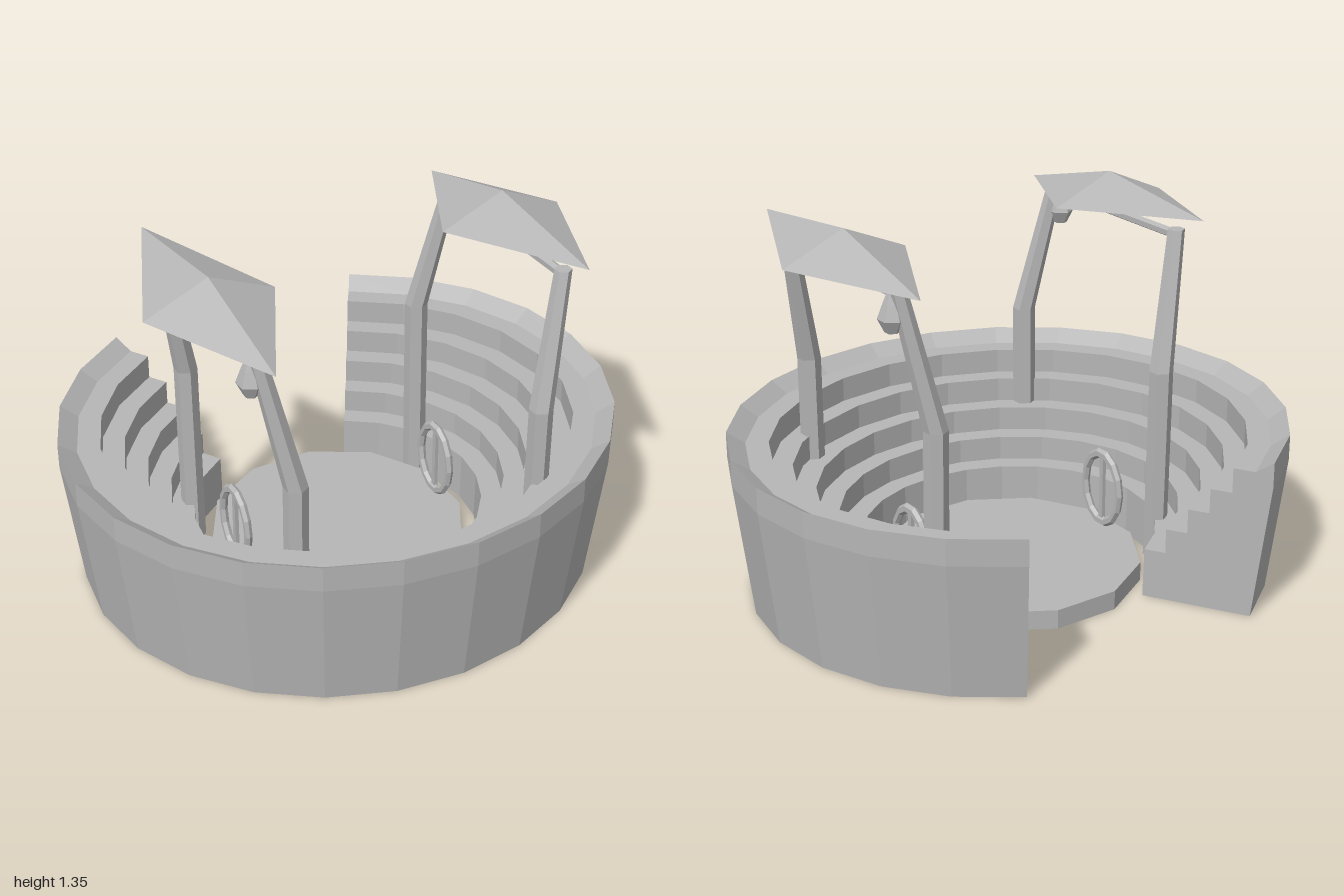
import * as THREE from 'three';

const stone = new THREE.MeshStandardMaterial({ color: 0xb6b6b6, flatShading: true, side: THREE.DoubleSide });
stone.name = 'plain grey';

function part(name, geometry, parent, x = 0, y = 0, z = 0) {
  const mesh = new THREE.Mesh(geometry, stone);
  mesh.name = name;
  mesh.position.set(x, y, z);
  parent.add(mesh);
  return mesh;
}

// Cylinder whose rings follow three points, so that it bends once
function bentPost(points, radii) {
  const g = new THREE.CylinderGeometry(1, 1, 2, 6, 2);
  const p = g.attributes.position;
  for (let i = 0; i < p.count; i++) {
    const k = Math.round(p.getY(i)) + 1;
    const [x, y, z] = points[k];
    p.setXYZ(i, x + p.getX(i) * radii[k], y, z + p.getZ(i) * radii[k]);
  }
  return g;
}

// Four sloping faces above and four shallow ones below
function canopyGeometry() {
  const corners = [[0.57, 1.285, 0.49], [0.8, 1.245, -0.03], [0.57, 1.225, -0.49], [0.335, 1.245, -0.03]];
  const top = [0.57, 1.345, -0.03], under = [0.57, 1.208, -0.03];
  const v = [];
  corners.forEach((c, i) => {
    const n = corners[(i + 1) % 4];
    v.push(...c, ...n, ...top, ...n, ...c, ...under);
  });
  const g = new THREE.BufferGeometry();
  g.setAttribute('position', new THREE.Float32BufferAttribute(v, 3));
  g.computeVertexNormals();
  return g;
}

export function createModel() {
  const model = new THREE.Group();
  model.name = 'steppedPavilion';

  // Stepped ring wall, open at the back
  const ring = new THREE.Group();
  ring.name = 'steppedRing';
  ring.position.z = -0.065;
  ring.scale.z = 0.935;
  model.add(ring);
  const profile = [[0.53, 0], [0.94, 0], [1, 0.49], [1, 0.583], [0.935, 0.54]];
  for (let i = 4; i >= 0; i--) {
    const y = 0.18 + 0.09 * i;
    if (i < 4) profile.push([0.613 + 0.08 * i, y]);
    profile.push([0.533 + 0.08 * i, y]);
  }
  const pts = profile.map(([r, y]) => new THREE.Vector2(r, y));
  const open = Math.PI * 5 / 6;
  part('wall', new THREE.LatheGeometry([...pts, pts[0]], 20, -open, open * 2), ring);
  for (const phi of [-open, open]) {
    const cap = new THREE.ShapeGeometry(new THREE.Shape(pts));
    if (phi > 0) {
      const idx = cap.index.array;
      idx.reverse();
      cap.computeVertexNormals();
    }
    part('wallEnd', cap.rotateY(phi - Math.PI / 2), ring);
  }

  // Twelve-sided floor
  const floor = new THREE.CylinderGeometry(0.469, 0.469, 0.07, 12).rotateY(Math.PI / 12);
  part('floor', floor, model, 0, 0.035, -0.067);

  // Two canopies, each the other turned half round
  for (const turn of [0, Math.PI]) {
    const side = new THREE.Group();
    side.name = turn ? 'rightCanopy' : 'leftCanopy';
    side.position.z = 0.098;
    side.rotation.y = turn;
    model.add(side);
    part('roof', canopyGeometry(), side);
    for (const s of [-1, 1]) {
      const path = [[0.47, 0.03, 0.405 * s], [0.47, 0.74, 0.412 * s], [0.567, 1.225, 0.352 * s]];
      part('post', bentPost(path, [0.042, 0.042, 0.03]), side);
    }
    const beam = new THREE.CylinderGeometry(0.018, 0.018, 0.7, 6).rotateX(Math.PI / 2);
    part('beam', beam, side, 0.567, 1.205, 0);

    // Hanging lamp
    const lamp = [[0, 1.075], [0.025, 1.08], [0.048, 1.125], [0.03, 1.175], [0.012, 1.22]];
    part('lamp', new THREE.LatheGeometry(lamp.map(([r, y]) => new THREE.Vector2(r, y)), 6), side, 0.58, 0, -0.335);
  }

  // Upright oval wheels at the floor edge
  for (const s of [-1, 1]) {
    const wheel = new THREE.Group();
    wheel.name = s > 0 ? 'leftWheel' : 'rightWheel';
    wheel.position.set(0.415 * s, 0.215, -0.065);
    model.add(wheel);
    const rim = new THREE.TorusGeometry(0.135, 0.019, 6, 14).scale(0.74, 1, 0.8).rotateY(Math.PI / 2);
    part('rim', rim, wheel);
    part('spoke', new THREE.BoxGeometry(0.014, 0.26, 0.02), wheel);
  }
  return model;
}
